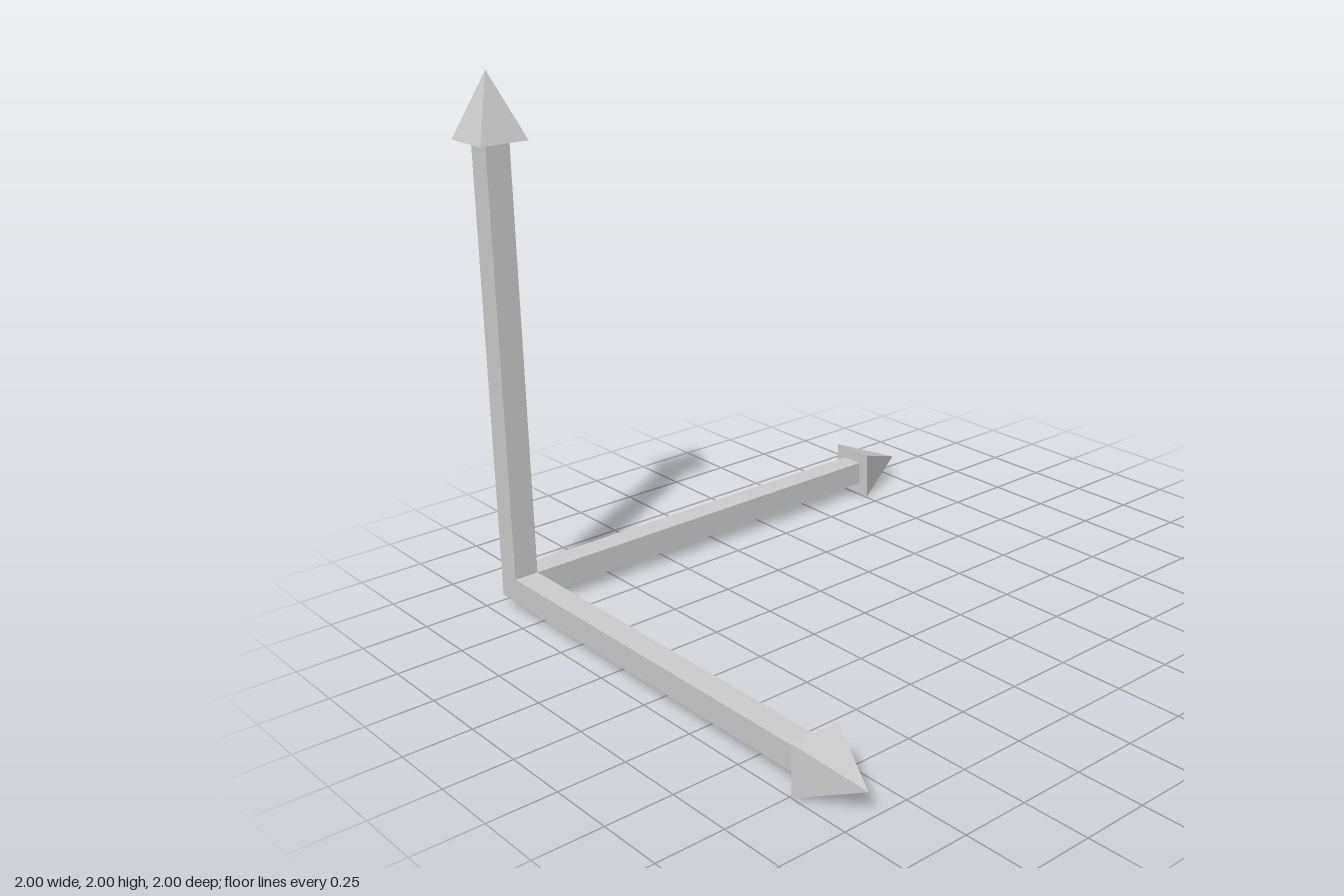
import * as THREE from 'three';

export function createModel() {
  const model = new THREE.Group();
  model.name = 'axisArrows';
  const material = new THREE.MeshStandardMaterial({ color: 0xcccccc, flatShading: true });

  const shaftHalf = 0.047; // half width of the square bars
  const headHalf = 0.094;  // half width of the pyramid base
  const headStart = 1.666; // distance from the corner to the pyramid base
  const tip = 1.906;       // distance from the corner to the point

  // Square bar and four-sided head, both pointing along +y
  const shaftLength = headStart - shaftHalf;
  const shaftGeometry = new THREE.BoxGeometry(shaftHalf * 2, shaftLength, shaftHalf * 2)
    .translate(0, shaftHalf + shaftLength / 2, 0);
  const headGeometry = new THREE.ConeGeometry(headHalf * Math.SQRT2, tip - headStart, 4)
    .rotateY(Math.PI / 4)
    .translate(0, (headStart + tip) / 2, 0);

  function addMesh(parent, name, geometry) {
    const mesh = new THREE.Mesh(geometry, material);
    mesh.name = name;
    parent.add(mesh);
  }

  function addArrow(name, rotX, rotZ) {
    const arrow = new THREE.Group();
    arrow.name = name;
    addMesh(arrow, name + 'Shaft', shaftGeometry);
    addMesh(arrow, name + 'Head', headGeometry);
    arrow.rotation.set(rotX, 0, rotZ);
    model.add(arrow);
  }

  // Shared corner block and the three arrows leaving it
  addMesh(model, 'cornerBlock', new THREE.BoxGeometry(shaftHalf * 2, shaftHalf * 2, shaftHalf * 2));
  addArrow('upArrow', 0, 0);
  addArrow('leftArrow', 0, -Math.PI / 2);
  addArrow('backArrow', -Math.PI / 2, 0);

  model.position.set(headHalf - 1, headHalf, 1 - headHalf);
  return model;
}
